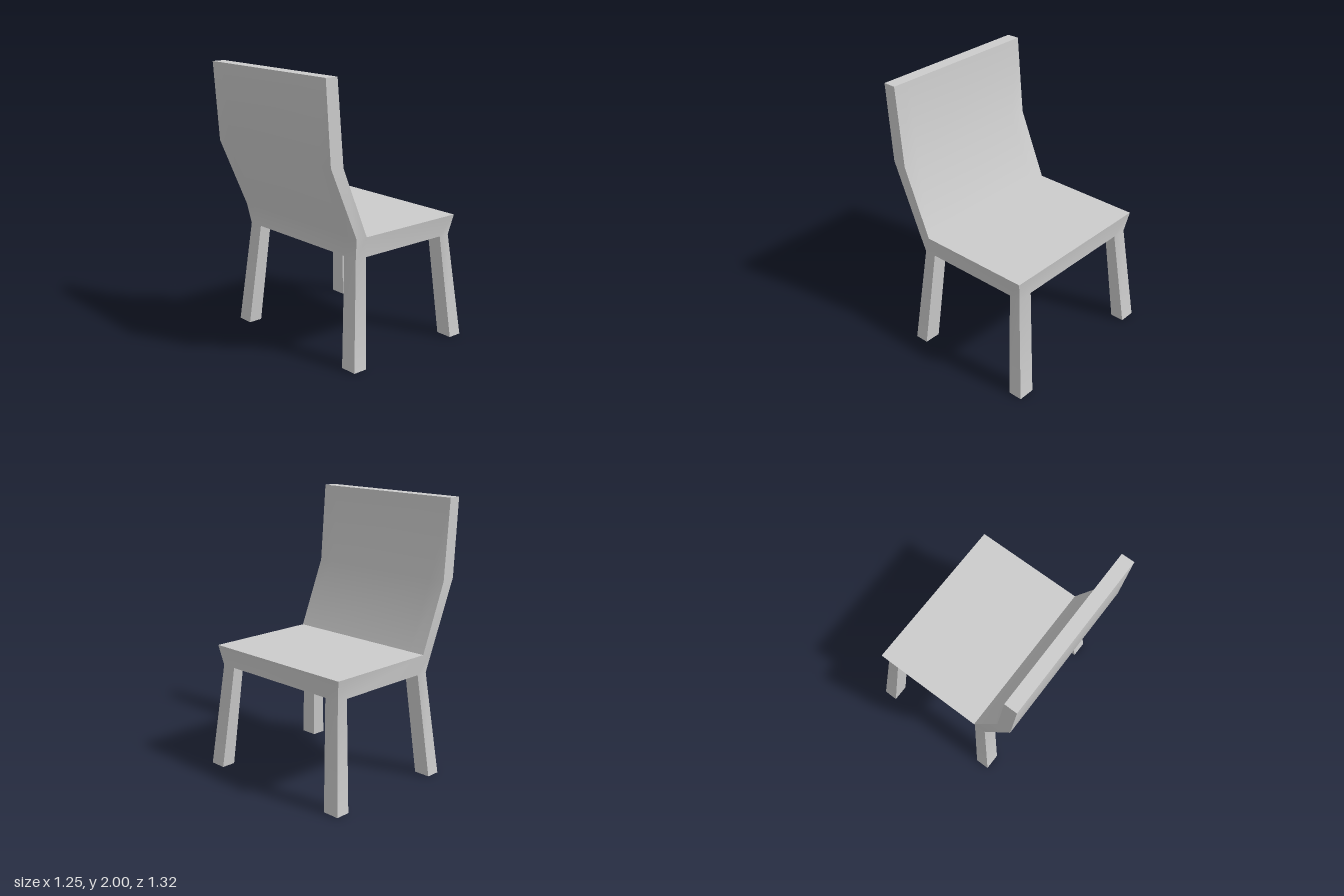
import * as THREE from 'three';
import { mergeGeometries, toCreasedNormals } from 'three/addons/utils/BufferGeometryUtils.js';

// Rectangular section, counterclockwise from above; ys gives one height per x
function ring(xs, ys, zs) {
  const p = (i, k) => new THREE.Vector3(xs[i], ys[i] ?? ys[0], zs[k]);
  const X = xs.length - 1, Z = zs.length - 1, out = [];
  for (let i = 0; i < X; i++) out.push(p(i, Z));
  for (let k = Z; k > 0; k--) out.push(p(X, k));
  for (let i = X; i > 0; i--) out.push(p(i, 0));
  for (let k = 0; k < Z; k++) out.push(p(0, k));
  return out;
}

// Skin a stack of sections, from bottom to top, with optional end caps
function loft(rings, capBottom, capTop) {
  const tris = [];
  for (let r = 0; r < rings.length - 1; r++) {
    const a = rings[r], b = rings[r + 1];
    a.forEach((p, i) => {
      const j = (i + 1) % a.length;
      tris.push(p, a[j], b[j], p, b[j], b[i]);
    });
  }
  const cap = (pts) => {
    const mid = pts.reduce((s, p) => s.add(p), new THREE.Vector3()).divideScalar(pts.length);
    pts.forEach((p, i) => tris.push(mid, p, pts[(i + 1) % pts.length]));
  };
  if (capBottom) cap([...rings[0]].reverse());
  if (capTop) cap(rings[rings.length - 1]);
  return new THREE.BufferGeometry().setFromPoints(tris);
}

export function createModel() {
  const grey = new THREE.MeshStandardMaterial({ color: 0xcccccc });
  grey.name = 'grey';
  const parts = [];
  const topZ = [-0.615, -0.49, 0.49, 0.615];

  // Seat slab, flaring outwards to its upper edge
  const under = ring([-0.35, -0.26, 0.46, 0.545], [0.77], [-0.585, -0.47, 0.47, 0.585]);
  const rim = ring([-0.37, -0.28, 0.47, 0.57], [0.92], topZ);
  parts.push(['seat', loft([under, rim], true, false)]);
  parts.push(['seatTop', loft([ring([-0.28, 0.47, 0.57], [0.92], topZ)], false, true)]);

  // Bent backrest
  parts.push(['backrest', loft([
    ring([-0.37, -0.28], [0.92], topZ),
    ring([-0.59, -0.485], [1.43, 1.415], topZ),
    ring([-0.63, -0.535], [2], topZ),
  ], false, true)]);

  // Splayed legs
  const legs = [
    ['rear', [-0.425, -0.32], [-0.35, -0.26]],
    ['front', [0.52, 0.625], [0.46, 0.545]],
  ];
  for (const [name, foot, top] of legs) {
    for (const s of [-1, 1]) {
      const zs = (a, b) => (s > 0 ? [a, b] : [-b, -a]);
      parts.push([name + (s > 0 ? 'LegA' : 'LegB'),
        loft([ring(foot, [0], zs(0.535, 0.66)), ring(top, [0.77], zs(0.47, 0.585))], true, false)]);
    }
  }

  // Shade all parts together so that shallow bends between them stay smooth
  const whole = toCreasedNormals(mergeGeometries(parts.map((p) => p[1])), 0.6);
  const model = new THREE.Group();
  model.name = 'chair';
  let start = 0;
  for (const [name, geometry] of parts) {
    const count = geometry.attributes.position.count * 3;
    const normals = whole.attributes.normal.array.slice(start, start + count);
    geometry.setAttribute('normal', new THREE.BufferAttribute(normals, 3));
    start += count;
    const mesh = new THREE.Mesh(geometry, grey);
    mesh.name = name;
    model.add(mesh);
  }
  return model;
}
